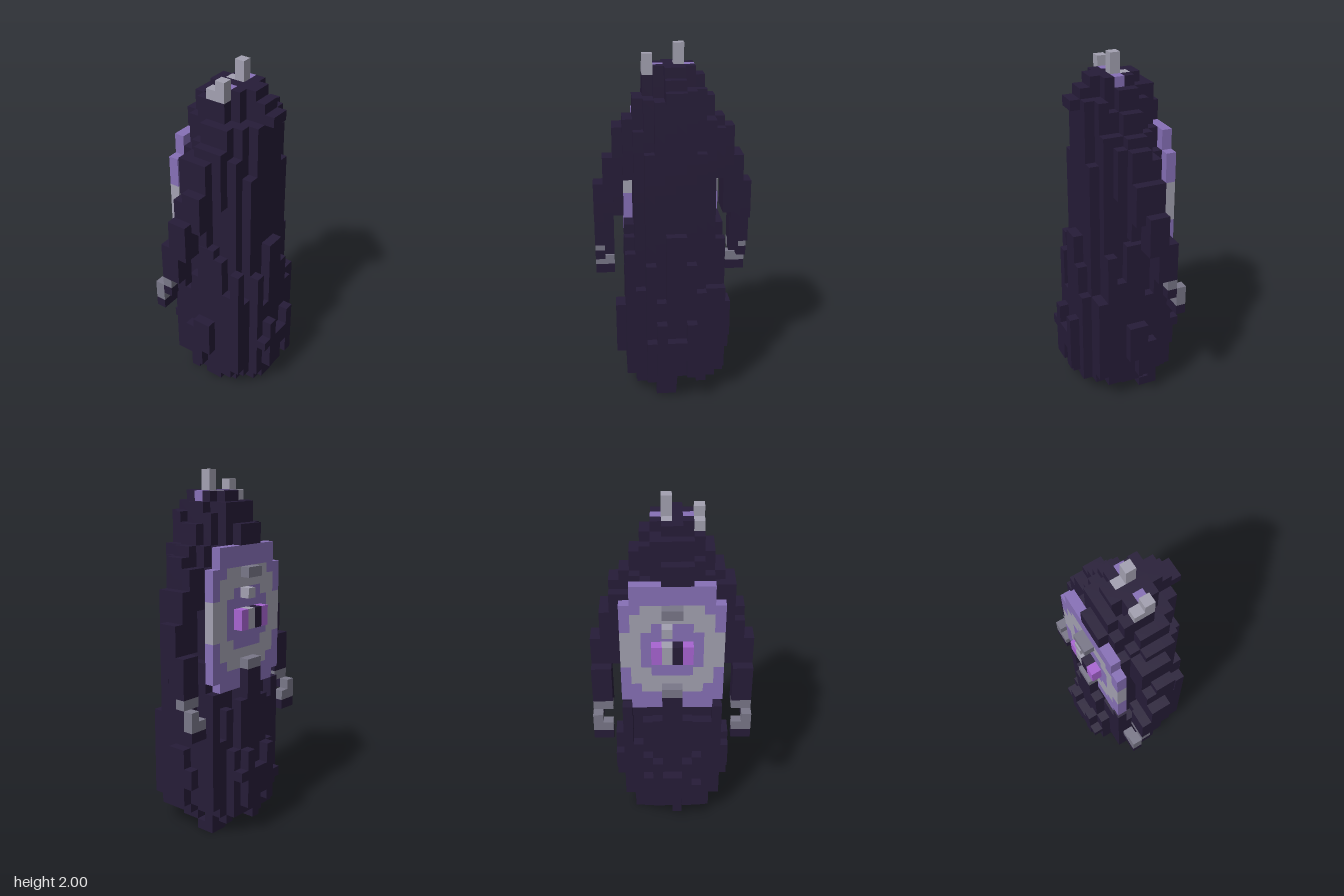
import * as THREE from 'three';

// The model is made of cubes on a grid; each part is a set of filled cells.
const V = 1 / 18;
const mat = (name, color) => Object.assign(new THREE.MeshStandardMaterial({ color }), { name });

// Robe outline: [first layer, last layer, half width in x for each row away from z = 0]
const LAYERS = [
  [3, 8, [6, 6, 6, 4, 4, 2]],
  [9, 17, [5, 5, 5, 4, 4]],
  [18, 22, [4, 4, 4, 3]],
  [23, 24, [4, 4, 4, 3, 2, 2, 2]],
  [25, 27, [4, 4, 4, 3, 2, 2]],
  [28, 28, [4, 4, 3, 3, 2]],
  [29, 30, [4, 4, 3, 2]],
  [31, 32, [4, 4, 3]],
  [33, 33, [3, 2]],
];
const FACES = [
  [[1, 0, 0], [[1, 0, 0], [1, 1, 0], [1, 1, 1], [1, 0, 1]]],
  [[-1, 0, 0], [[0, 0, 1], [0, 1, 1], [0, 1, 0], [0, 0, 0]]],
  [[0, 1, 0], [[0, 1, 0], [0, 1, 1], [1, 1, 1], [1, 1, 0]]],
  [[0, -1, 0], [[0, 0, 0], [1, 0, 0], [1, 0, 1], [0, 0, 1]]],
  [[0, 0, 1], [[0, 0, 1], [1, 0, 1], [1, 1, 1], [0, 1, 1]]],
  [[0, 0, -1], [[0, 0, 0], [0, 1, 0], [1, 1, 0], [1, 0, 0]]],
];

export function createModel() {
  const cloth = mat('dark cloth', 0x261c38);
  const bone = mat('pale bone', 0xa3a1b1);
  const claw = mat('grey claw', 0x797788);
  const violet = mat('violet', 0x8770b7);
  const glow = mat('bright purple', 0xa864d2);
  const materials = {
    robe: cloth, hem: cloth, sleeves: cloth, hands: cloth, hoodTip: cloth, horns: bone,
    crownGems: violet, shieldPlate: violet, shieldRing: bone, shieldMouth: cloth,
    shieldEyes: glow, shieldStuds: claw, shieldNose: bone, claws: claw,
  };

  const cells = new Map();
  const put = (part, i, j, k) => cells.set([i, j, k].join(), part);
  const fill = (part, [i0, i1], [j0, j1], [k0, k1]) => {
    for (let i = i0; i <= i1; i++)
      for (let j = j0; j <= j1; j++)
        for (let k = k0; k <= k1; k++) put(part, i, j, k);
  };
  const pair = (part, i, j, [k0, k1]) => {
    fill(part, i, j, [k0, k1]);
    fill(part, i, j, [-k1 - 1, -k0 - 1]);
  };
  const row = (k) => (k >= 0 ? k : -k - 1);
  const noise = (i, k) => {
    const s = Math.sin(i * 12.9898 + k * 78.233 + 3) * 43758.5453;
    return s - Math.floor(s);
  };
  const inside = (i, j, k) => {
    const layer = LAYERS.find(([a, b]) => j >= a && j <= b);
    const w = layer ? layer[2][row(k)] || 0 : 0;
    let front = w;
    if (j >= 15 && j <= 28) front = Math.min(w, 3);
    if (j >= 31) front = Math.max(w - 1, 0);
    const back = row(k) >= 5 ? w - 1 : w;
    return i >= -front && i < back;
  };

  // Robe with folds that start and end at uneven heights
  for (let i = -6; i < 6; i++)
    for (let k = -7; k < 7; k++) {
      const start = inside(i, 9, k) ? 3 : 3 + Math.floor(noise(k + 9, i) * 4);
      for (let j = start; j <= 33; j++) {
        const reach = j < 9 ? 5 : j < 18 ? 8 : 3;
        let drop = Math.floor(noise(i, k) * reach);
        if (i === -1 || i === 0) drop = 0;
        else if (row(k) === 0) drop = j < 9 ? 2 : 0;
        if (inside(i, j, k) && inside(i, Math.min(j + drop, 33), k)) put('robe', i, j, k);
      }
    }
  // Longest folds on each side
  pair('robe', [-6, -6], [3, 8], [1, 1]);
  pair('robe', [5, 5], [3, 8], [1, 1]);
  pair('robe', [-1, -1], [3, 8], [5, 5]);
  fill('robe', [-5, -5], [9, 16], [-1, 0]);
  pair('robe', [-5, -5], [9, 13], [1, 1]);

  // Ragged hem, hollow underneath
  for (let i = -5; i < 5; i++)
    for (let k = -5; k < 5; k++) {
      const r = Math.hypot(i + 0.5, k + 0.5);
      if (r > 2.6 && r < (noise(i, k + 4) > 0.4 ? 5.3 : 4.4)) put('hem', i, 2, k);
      if (r > 3.4 && r < 4.9 && noise(k, i) > 0.55 && i !== -2 && k !== -1 && k !== -2 && row(k) < 4) put('hem', i, 1, k);
    }
  pair('hem', [-1, 0], [2, 2], [4, 4]);
  fill('hem', [-5, -5], [2, 2], [-1, 0]);
  fill('hem', [-3, -3], [0, 2], [2, 3]);
  fill('hem', [-1, 0], [0, 2], [3, 3]);
  fill('hem', [-3, -3], [0, 2], [-4, -3]);
  fill('hem', [-2, -2], [0, 0], [-4, -3]);
  fill('hem', [3, 3], [0, 2], [0, 1]);
  fill('hem', [-4, -4], [1, 2], [0, 1]);
  fill('hem', [4, 4], [1, 2], [0, 1]);

  // Sleeves reaching forward, hands and claws
  pair('sleeves', [-2, 0], [19, 23], [5, 5]);
  pair('sleeves', [-1, 0], [21, 23], [6, 6]);
  pair('sleeves', [-2, -1], [18, 22], [6, 6]);
  pair('sleeves', [-3, -2], [15, 18], [6, 6]);
  pair('sleeves', [-2, -1], [18, 21], [7, 7]);
  pair('sleeves', [-3, -2], [15, 18], [7, 7]);
  pair('hands', [-4, -4], [11, 11], [6, 7]);
  pair('hands', [-3, -3], [13, 13], [7, 7]);
  pair('hands', [-2, -2], [14, 14], [6, 6]);
  pair('claws', [-4, -4], [12, 12], [6, 7]);
  pair('claws', [-4, -4], [13, 13], [7, 7]);
  pair('claws', [-3, -3], [14, 14], [6, 7]);

  // Round shield with a ring and a face
  for (let k = -5; k < 5; k++)
    for (let j = 15; j <= 28; j++) {
      if (row(k) === 4 && (j < 16 || j > 26)) continue;
      const r = Math.hypot(k + 0.5, (j + 0.5 - 22) * 0.9);
      put(r > 3.1 && r < 4.9 ? 'shieldRing' : 'shieldPlate', -4, j, k);
    }
  pair('shieldEyes', [-5, -5], [21, 22], [1, 1]);
  fill('shieldMouth', [-5, -5], [21, 22], [0, 0]);
  fill('shieldNose', [-5, -5], [21, 22], [-1, -1]);
  put('shieldNose', -5, 24, -1);
  fill('shieldStuds', [-5, -5], [26, 26], [-1, 0]);
  fill('shieldStuds', [-5, -5], [17, 17], [-1, 0]);

  // Hood, horns and gems
  fill('hoodTip', [4, 4], [31, 31], [-1, 0]);
  pair('crownGems', [0, 0], [33, 33], [1, 1]);
  fill('horns', [-1, 0], [33, 33], [-1, -1]);
  fill('horns', [0, 0], [34, 35], [-1, -1]);
  fill('horns', [-1, 0], [33, 33], [2, 2]);
  fill('horns', [0, 0], [34, 34], [2, 2]);

  // Turn the exposed cube faces of each part into one mesh
  const group = new THREE.Group();
  for (const [part, material] of Object.entries(materials)) {
    const pos = [];
    for (const [key, owner] of cells) {
      if (owner !== part) continue;
      const c = key.split(',').map(Number);
      for (const [dir, quad] of FACES) {
        if (cells.has(c.map((v, n) => v + dir[n]).join())) continue;
        for (const n of [0, 1, 2, 0, 2, 3]) pos.push(...quad[n].map((v, a) => (v + c[a]) * V));
      }
    }
    const geometry = new THREE.BufferGeometry();
    geometry.setAttribute('position', new THREE.Float32BufferAttribute(pos, 3));
    geometry.computeVertexNormals();
    const mesh = new THREE.Mesh(geometry, material);
    mesh.name = part;
    group.add(mesh);
  }
  return group;
}
